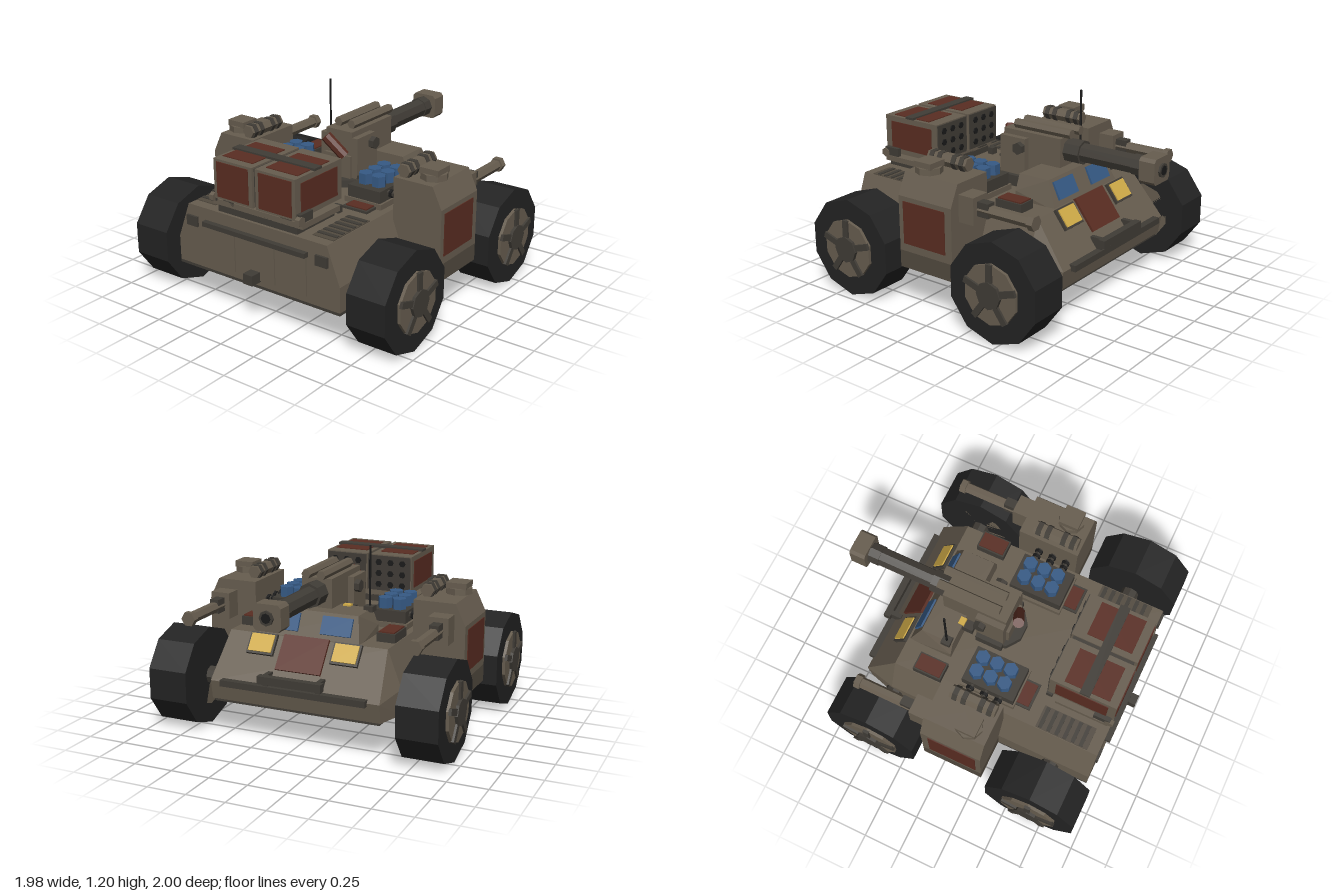
import * as THREE from 'three';
import { ConvexGeometry } from 'three/addons/geometries/ConvexGeometry.js';

const mat = (name, color) => Object.assign(new THREE.MeshStandardMaterial({ color }), { name });

export function createModel() {
  const root = new THREE.Group();
  root.name = 'armouredBuggy';
  const tan = mat('tan armour', 0x675d4f);
  const dark = mat('dark metal', 0x403c36);
  const tyre = mat('tyre rubber', 0x232323);
  const red = mat('rust red', 0x5a2d22);
  const blue = mat('blue', 0x365a85);
  const yellow = mat('lamp yellow', 0xd0ab48);
  const black = mat('black', 0x1a1a1a);
  const seam = mat('shadow tan', 0x524a3f);

  const add = (name, geo, m, parent = root) => {
    const mesh = new THREE.Mesh(geo, m);
    mesh.name = name;
    parent.add(mesh);
    return mesh;
  };
  // box given by its limits on each axis
  const box = (name, m, x0, x1, y0, y1, z0, z1, parent) => {
    const b = add(name, new THREE.BoxGeometry(Math.abs(x1 - x0), y1 - y0, z1 - z0), m, parent);
    b.position.set((x0 + x1) / 2, (y0 + y1) / 2, (z0 + z1) / 2);
    return b;
  };
  // faceted cylinder along an axis, centred on a point
  const cyl = (name, m, axis, r, len, sides, x, y, z, parent, r2 = r) => {
    let g = new THREE.CylinderGeometry(r2, r, len, sides, 1, false, Math.PI / 2);
    if (axis === 'x') g.rotateZ(-Math.PI / 2);
    if (axis === 'z') g.rotateX(Math.PI / 2);
    g = g.toNonIndexed();
    g.computeVertexNormals();
    const c = add(name, g, m, parent);
    c.position.set(x, y, z);
    return c;
  };
  const solid = (name, m, pts, parent) =>
    add(name, new ConvexGeometry(pts.map((p) => new THREE.Vector3(...p))), m, parent);
  // thin plate lying on a slope that faces up and to the back
  const plate = (name, m, x, y, z, w, t, len, angle) => {
    const p = add(name, new THREE.BoxGeometry(w, t, len), m);
    p.position.set(x, y, z);
    p.rotation.x = angle;
  };
  const both = (fn) => [1, -1].forEach(fn);

  // hull with bevelled sides and sloped nose
  const hull = [];
  both((s) => {
    for (const z of [0.92, -0.47]) hull.push([s * 0.615, 0.25, z], [s * 0.615, 0.41, z], [s * 0.525, 0.645, z]);
    hull.push([s * 0.56, 0.25, -0.66], [s * 0.56, 0.37, -0.68]);
  });
  solid('hull', tan, hull);
  box('floorPlate', dark, -0.615, 0.615, 0.232, 0.25, -0.45, 0.92);
  box('noseFloorPlate', dark, -0.55, 0.55, 0.232, 0.25, -0.65, -0.45);

  // sloped nose panel, lamps and bumper
  const slope = -0.927;
  plate('nosePanel', red, 0, 0.563, -0.54, 0.3, 0.02, 0.23, slope);
  both((s) => {
    plate('lampFrame', dark, s * 0.28, 0.592, -0.518, 0.18, 0.03, 0.14, slope);
    plate('lamp', yellow, s * 0.28, 0.604, -0.532, 0.155, 0.01, 0.115, slope);
    box('bumperPost', dark, s * 0.16, s * 0.19, 0.36, 0.46, -0.7, -0.62);
  });
  box('bumper', dark, -0.48, 0.48, 0.35, 0.39, -0.71, -0.66);
  box('bumperBar', dark, -0.21, 0.21, 0.41, 0.46, -0.735, -0.69);

  // cabin with two slanted windows
  const cab = [];
  both((s) => cab.push([s * 0.34, 0.63, -0.465], [s * 0.34, 0.63, -0.17], [s * 0.34, 0.7, -0.17],
    [s * 0.3, 0.8, -0.17], [s * 0.3, 0.8, -0.385]));
  solid('cabin', tan, cab);
  both((s) => plate('window', blue, s * 0.175, 0.73, -0.424, 0.2, 0.016, 0.115, -1.11));

  // antenna
  box('antennaBase', dark, -0.33, -0.27, 0.79, 0.825, -0.24, -0.18);
  cyl('antenna', black, 'y', 0.007, 0.4, 6, -0.3, 1.0, -0.21);

  // wheels, hubs and axles
  both((s) => [0.66, -0.46].forEach((z) => {
    const w = new THREE.Group();
    w.name = 'wheel';
    w.position.set(s * 0.82, 0.32, z);
    root.add(w);
    cyl('tyre', tyre, 'x', 0.318, 0.26, 10, 0, 0, 0, w);
    cyl('rim', tan, 'x', 0.19, 0.28, 10, s * 0.01, 0, 0, w);
    cyl('hubCap', dark, 'x', 0.085, 0.04, 8, s * 0.15, 0, 0, w);
    for (let i = 0; i < 5; i++) {
      const spoke = new THREE.Group();
      spoke.rotation.x = (i * Math.PI * 2) / 5;
      w.add(spoke);
      box('spoke', dark, s * 0.145, s * 0.164, 0.08, 0.19, -0.02, 0.02, spoke);
    }
    cyl('axle', dark, 'x', 0.058, 0.2, 8, s * 0.63, 0.325, z);
  }));

  // side pods with guns and launch tubes
  both((s) => {
    const pod = new THREE.Group();
    pod.name = 'sidePod';
    root.add(pod);
    const pts = [];
    for (const z of [-0.11, 0.295])
      pts.push([s * 0.545, 0.38, z], [s * 0.88, 0.38, z], [s * 0.88, 0.73, z], [s * 0.815, 0.865, z], [s * 0.545, 0.865, z]);
    solid('podBody', tan, pts, pod);
    box('podBase', seam, s * 0.545, s * 0.88, 0.27, 0.38, -0.11, 0.295, pod);
    box('podPanel', red, s * 0.878, s * 0.885, 0.43, 0.7, -0.06, 0.26, pod);
    cyl('podHatch', tan, 'y', 0.085, 0.04, 8, s * 0.745, 0.885, 0.165, pod);
    box('podHatchTop', tan, s * 0.68, s * 0.81, 0.9, 0.94, 0.1, 0.23, pod);
    box('gunMount', tan, s * 0.68, s * 0.81, 0.63, 0.8, -0.22, -0.11, pod);
    box('gunSleeve', dark, s * 0.715, s * 0.775, 0.68, 0.77, -0.3, -0.22, pod);
    cyl('podGunBarrel', tan, 'z', 0.036, 0.38, 6, s * 0.745, 0.72, -0.4, pod);
    cyl('podGunMuzzle', tan, 'z', 0.048, 0.04, 6, s * 0.745, 0.72, -0.6, pod);
    cyl('launchTube', tan, 'z', 0.044, 0.3, 6, s * 0.6, 0.907, 0.125, pod);
    for (const z of [0.01, 0.07, 0.18, 0.24])
      cyl('tubeRing', dark, 'z', 0.05, 0.032, 6, s * 0.6, 0.907, z, pod);
    // cross links to the hull
    for (const z of [0.04, 0.135, 0.23]) {
      cyl('link', dark, 'x', 0.018, 0.14, 6, s * 0.5, 0.725, z, pod);
      for (const x of [0.49, 0.525]) cyl('linkCollar', black, 'x', 0.028, 0.018, 6, s * x, 0.725, z, pod);
    }
  });

  // deck hatches, rocket cells and grilles
  both((s) => {
    box('hatchBox', dark, s * 0.4, s * 0.52, 0.6, 0.7, -0.345, -0.155);
    box('hatchLid', red, s * 0.41, s * 0.51, 0.7, 0.708, -0.335, -0.165);
    box('cellPlinth', tan, s * 0.21, s * 0.48, 0.64, 0.68, -0.04, 0.33);
    box('cellBox', dark, s * 0.23, s * 0.465, 0.68, 0.755, -0.03, 0.32);
    for (const x of [0.3, 0.395])
      for (const z of [0.04, 0.135, 0.23]) cyl('rocketCell', blue, 'y', 0.046, 0.07, 6, s * x, 0.787, z);
    box('deckFlapFrame', dark, s * 0.265, s * 0.445, 0.64, 0.66, 0.32, 0.425);
    box('deckFlap', red, s * 0.28, s * 0.43, 0.66, 0.667, 0.325, 0.41);
    box('deckLug', dark, s * 0.255, s * 0.305, 0.64, 0.69, 0.475, 0.515);
    box('grille', seam, s * 0.37, s * 0.52, 0.64, 0.65, 0.5, 0.85);
    for (let i = 0; i < 6; i++)
      box('grilleSlat', dark, s * 0.375, s * 0.515, 0.65, 0.656, 0.515 + i * 0.055, 0.54 + i * 0.055);
  });

  // missile boxes
  box('rackBase', dark, -0.3, 0.3, 0.64, 0.69, 0.55, 0.9);
  box('rackTray', tan, -0.34, 0.34, 0.685, 0.72, 0.55, 0.9);
  both((s) => {
    box('rackLeg', dark, s * 0.18, s * 0.26, 0.7, 0.74, 0.53, 0.9);
    box('missileBox', tan, s * 0.012, s * 0.305, 0.735, 0.985, 0.485, 0.92);
    box('missileBoxBack', dark, s * 0.02, s * 0.298, 0.742, 0.978, 0.478, 0.486);
    box('boxFrontPanel', red, s * 0.04, s * 0.28, 0.75, 0.97, 0.918, 0.926);
    box('boxTopPanel', red, s * 0.05, s * 0.28, 0.983, 0.99, 0.57, 0.865);
    box('boxSidePanel', red, s * 0.303, s * 0.31, 0.77, 0.95, 0.53, 0.87);
    for (let i = 0; i < 3; i++)
      for (let j = 0; j < 3; j++)
        cyl('missilePort', black, 'z', 0.022, 0.008, 6, s * (0.075 + i * 0.084), 0.785 + j * 0.075, 0.475);
    box('rackClamp', dark, s * 0.305, s * 0.335, 0.71, 0.775, 0.8, 0.91);
    cyl('rackLamp', tan, 'x', 0.032, 0.03, 6, s * 0.325, 0.735, 0.905);
  });
  box('boxStrap', dark, -0.31, 0.31, 0.985, 1.0, 0.68, 0.745);
  box('boxSpine', dark, -0.012, 0.012, 0.74, 0.975, 0.5, 0.9);

  // rear of the hull: rail, door panels, lamps and hitch
  box('endRail', dark, -0.39, 0.39, 0.54, 0.57, 0.92, 0.955);
  box('hitch', dark, -0.035, 0.035, 0.28, 0.345, 0.92, 1.0);
  for (const [a, b] of [[-0.38, -0.16], [-0.145, 0.145], [0.16, 0.38]])
    box('doorPanel', tan, a, b, 0.29, 0.53, 0.915, 0.929);
  both((s) => box('endLamp', dark, s * 0.45, s * 0.535, 0.51, 0.575, 0.915, 0.935));

  // turret pedestal and main gun
  cyl('turretRing', dark, 'y', 0.17, 0.06, 10, 0, 0.665, 0.02);
  box('pedestal', tan, -0.1, 0.1, 0.64, 0.84, -0.17, 0.12);
  box('receiver', tan, -0.1, 0.1, 0.81, 0.995, -0.33, 0.1);
  both((s) => {
    box('trunnionPlate', tan, s * 0.1, s * 0.14, 0.66, 0.96, -0.09, 0.1);
    cyl('trunnion', dark, 'x', 0.04, 0.05, 6, s * 0.15, 0.9, -0.055);
    box('turretFoot', dark, s * 0.13, s * 0.17, 0.65, 0.72, -0.08, 0.1);
    cyl('recoilTube', tan, 'z', 0.03, 0.42, 6, s * 0.05, 1.023, -0.17);
  });
  box('sightLamp', yellow, -0.165, -0.115, 0.79, 0.81, -0.2, -0.16);
  box('sightBase', dark, -0.17, -0.11, 0.73, 0.79, -0.2, -0.1);
  cyl('gunCollar', dark, 'z', 0.078, 0.12, 8, 0, 0.905, -0.38);
  cyl('gunBarrel', dark, 'z', 0.062, 0.5, 8, 0, 0.905, -0.64);
  cyl('gunSleeve', dark, 'z', 0.068, 0.07, 8, 0, 0.905, -0.84);
  const brake = [];
  both((s) => both((t) => [[-0.88, 0.088, 0.06], [-0.88, 0.07, 0.08], [-0.985, 0.088, 0.06], [-0.985, 0.07, 0.08]]
    .forEach(([z, x, y]) => brake.push([s * x, 0.905 + t * y, z]))));
  solid('muzzleBrake', tan, brake);
  cyl('muzzleRing', dark, 'z', 0.045, 0.016, 8, 0, 0.905, -0.99);
  cyl('bore', black, 'z', 0.03, 0.005, 8, 0, 0.905, -0.998);

  // leaning red canister behind the gun
  const can = cyl('canister', red, 'y', 0.036, 0.17, 8, 0, 0.9, 0.14);
  can.rotation.set(0.35, 0, 0.7);

  return root;
}
